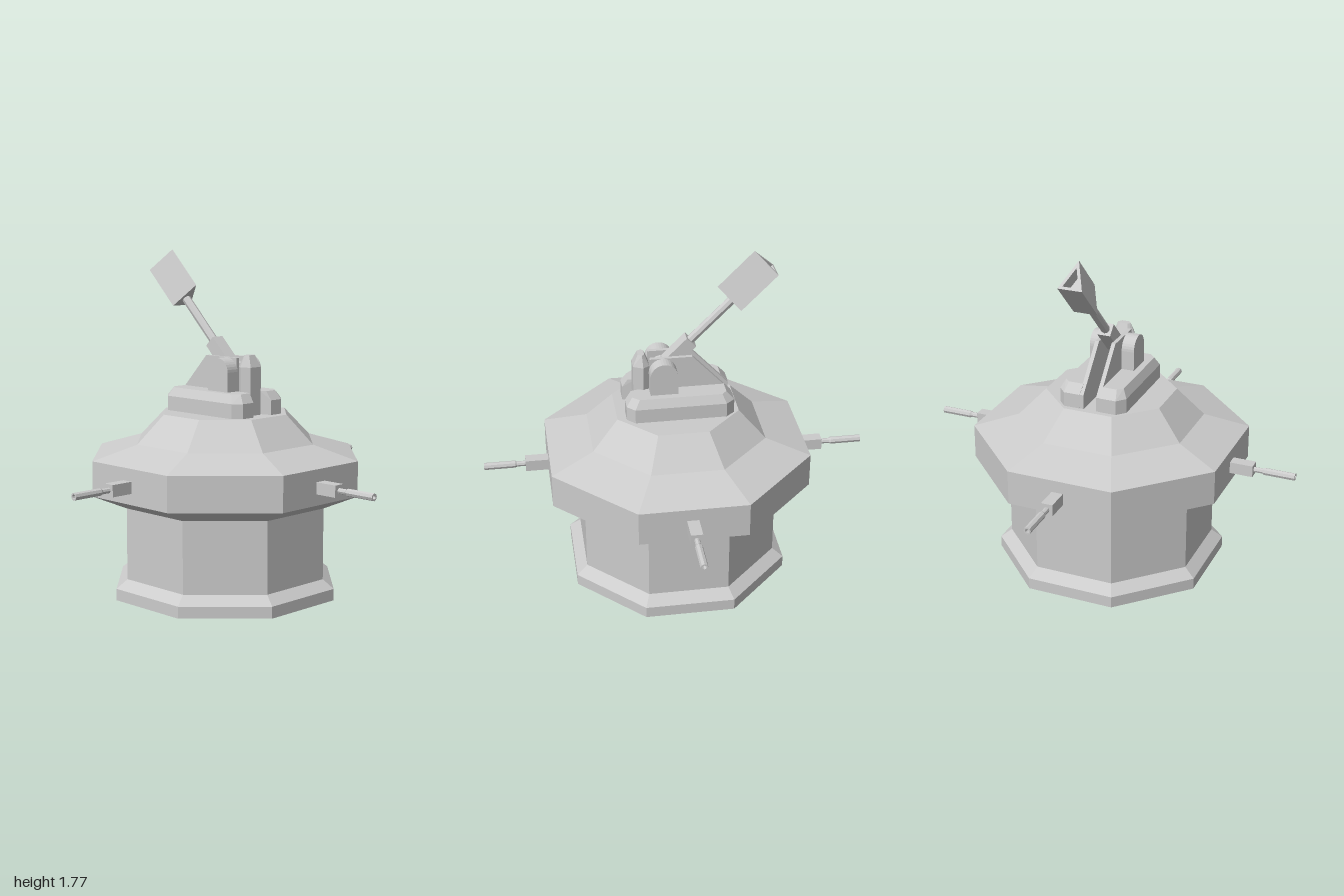
import * as THREE from 'three';
import { ConvexGeometry } from 'three/addons/geometries/ConvexGeometry.js';

const grey = new THREE.MeshStandardMaterial({ color: 0xcccccc, flatShading: true });
const thin = new THREE.MeshStandardMaterial({ color: 0xcccccc, flatShading: true, side: THREE.DoubleSide });

function add(parent, name, geometry, material = grey) {
  const mesh = new THREE.Mesh(geometry, material);
  mesh.name = name;
  parent.add(mesh);
  return mesh;
}

const vec2 = (pairs) => pairs.map(([x, y]) => new THREE.Vector2(x, y));

// Octagonal shell from [flat-to-centre distance, height] pairs
function octagon(profile) {
  const k = 1 / Math.cos(Math.PI / 8);
  return new THREE.LatheGeometry(vec2(profile.map(([r, y]) => [r * k, y])), 8, Math.PI / 8);
}

// Hull through horizontal rings: [height, [[x, z], ...]]
function hull(rings) {
  return new ConvexGeometry(rings.flatMap(([y, pts]) => pts.map(([x, z]) => new THREE.Vector3(x, y, z))));
}

// Plate lying in the xy plane, from z0 to z1
function plate(shape, z0, z1) {
  return new THREE.ExtrudeGeometry(shape, { depth: z1 - z0, bevelEnabled: false, curveSegments: 8 }).translate(0, 0, z0);
}

// Sideways gun: square mount, thin neck and hollow muzzle, pointing to +z
function sideGun() {
  const gun = new THREE.Group();
  gun.name = 'sideGun';
  add(gun, 'gunMount', new THREE.BoxGeometry(0.06, 0.06, 0.16)).position.set(-0.008, 0.637, 0.705);
  const barrel = new THREE.LatheGeometry(vec2([
    [0.014, 0.77], [0.014, 0.83], [0.019, 0.84], [0.019, 1], [0.011, 1], [0.011, 0.95], [0, 0.95],
  ]), 8);
  add(gun, 'gunBarrel', barrel.rotateX(Math.PI / 2)).position.set(-0.008, 0.637, 0);
  return gun;
}

// Raised arm with a hollow triangular head, built along +y
function raisedArm() {
  const arm = new THREE.Group();
  arm.name = 'raisedArm';
  add(arm, 'armSocket', new THREE.BoxGeometry(0.068, 0.205, 0.07)).position.y = 0.1025;
  add(arm, 'armRod', new THREE.CylinderGeometry(0.023, 0.023, 0.34, 8)).position.y = 0.35;
  const triangle = vec2([[-0.05, -0.063], [0.106, 0], [-0.05, 0.063]]);
  const solid = new THREE.Shape(triangle);
  const ring = new THREE.Shape(triangle);
  ring.holes.push(new THREE.Path(vec2([[-0.036, -0.041], [-0.036, 0.041], [0.066, 0]])));
  add(arm, 'armHead', plate(solid, 0.5, 0.69).rotateX(-Math.PI / 2));
  add(arm, 'armHeadOpening', plate(ring, 0.69, 0.757).rotateX(-Math.PI / 2));
  arm.position.set(0.065, 1.16, 0);
  arm.rotation.z = Math.PI / 4;
  return arm;
}

export function createModel() {
  const model = new THREE.Group();
  model.name = 'gunTower';

  // Hollow lower tower, open underneath
  add(model, 'towerBase', octagon([[0.555, 0], [0.555, 0.06], [0.5, 0.105], [0.5, 0.475]]), thin);

  // Overhanging upper body with stepped roof
  add(model, 'upperBody', octagon([
    [0, 0.475], [0.5, 0.475], [0.665, 0.55], [0.665, 0.73], [0.445, 0.8], [0.312, 0.945], [0, 0.945],
  ]));

  for (let i = 0; i < 4; i++) {
    const gun = sideGun();
    gun.rotation.y = i * Math.PI / 2;
    model.add(gun);
  }

  const turret = new THREE.Group();
  turret.name = 'turret';
  model.add(turret);

  const fin = new THREE.Shape(vec2([
    [-0.283, 0.945], [0.135, 0.945], [0.135, 1.235], [-0.083, 1.235], [-0.283, 1.02],
  ]));
  const arch = new THREE.Shape();
  arch.moveTo(0, 1.05);
  arch.lineTo(0.14, 1.05);
  arch.lineTo(0.14, 1.165);
  arch.absarc(0.07, 1.165, 0.07, 0, Math.PI, false);
  arch.closePath();

  // Mirrored halves: bevelled foot, sloping fin and bearing arch
  for (const s of [1, -1]) {
    const low = [[-0.285, 0.055], [-0.285, 0.14], [-0.24, 0.18], [0.225, 0.18], [0.265, 0.14], [0.265, 0.065], [0.2, 0.05]];
    const high = [[-0.245, 0.05], [-0.245, 0.13], [-0.22, 0.157], [0.2, 0.157], [0.235, 0.125], [0.235, 0.06], [0.2, 0.05]];
    const side = (pts) => pts.map(([x, z]) => [x, z * s]);
    add(turret, 'turretFoot', hull([[0.945, side(low)], [1.02, side(low)], [1.065, side(high)]]));
    add(turret, 'slopingFin', s > 0 ? plate(fin, 0.034, 0.055) : plate(fin, -0.055, -0.034));
    add(turret, 'bearingArch', s > 0 ? plate(arch, 0.05, 0.122) : plate(arch, -0.122, -0.05));
  }
  add(turret, 'pivotPin', new THREE.CylinderGeometry(0.045, 0.045, 0.1, 10).rotateX(Math.PI / 2)).position.set(0.07, 1.165, 0);

  // Faceted post with tapered cap behind the arm
  const post = (x0, x1, z) => [
    [x0, -z * 0.6], [x0, z * 0.6], [x0 + (x1 - x0) * 0.4, z], [x1, z * 0.6],
    [x1, -z * 0.6], [x0 + (x1 - x0) * 0.4, -z],
  ];
  add(turret, 'rearPost', hull([
    [0.945, post(0.135, 0.218, 0.06)], [1.19, post(0.135, 0.218, 0.06)], [1.25, post(0.158, 0.192, 0.035)],
  ]));

  turret.add(raisedArm());
  return model;
}
